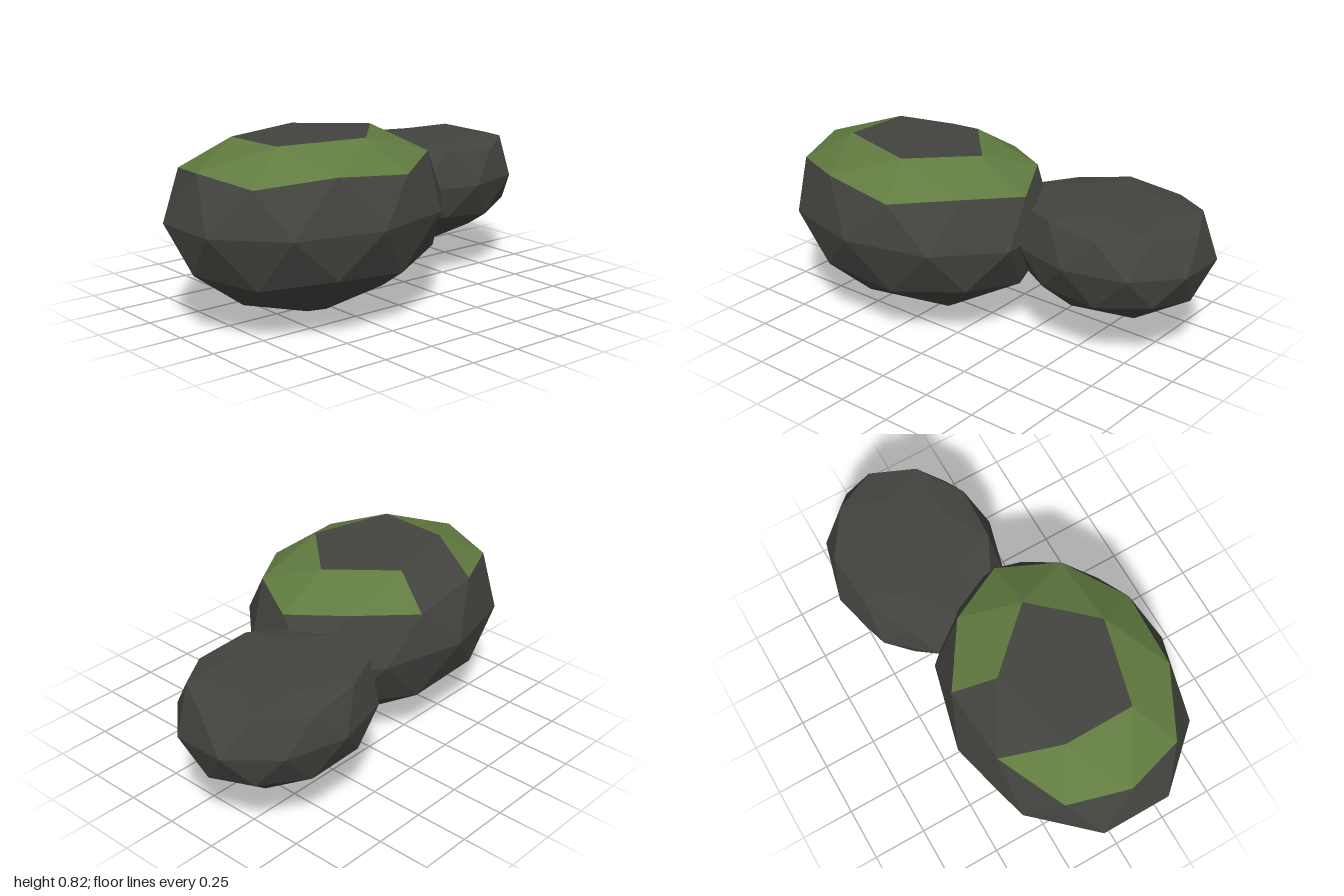
import * as THREE from 'three';

const rockMat = new THREE.MeshStandardMaterial({ name: 'dark rock', color: 0x43433f });
const mossMat = new THREE.MeshStandardMaterial({ name: 'moss green', color: 0x617b40 });
rockMat.flatShading = mossMat.flatShading = true;

// Boulder: a once-subdivided icosahedron, squashed and cut flat on top.
// mossSkip: null for a bare rock, else the shoulder sectors whose moss is missing.
function boulder(name, { center, radius, bottom, top, tilt = 0, mossSkip = null }) {
  const [cx, cy, cz] = center;
  const [rx, ry, rz] = radius;
  const point = (deg, r, h) => {
    const a = THREE.MathUtils.degToRad(deg);
    const z = rz * r * Math.sin(a);
    const y = Math.min(cy + ry * h, top + tilt * z);
    return [cx + rx * r * Math.cos(a), y, cz + z];
  };
  const ring = (n, start, f) =>
    Array.from({ length: n }, (_, i) => point(start + (i * 360) / n, ...f(i)));

  // Rings from the flat top down to the bottom tip
  const tip = [cx, Math.min(top, cy + ry), cz];
  const cap = ring(5, 0, () => [0.526, 0.851]);
  const shoulder = ring(10, 0, (i) => (i % 2 ? [0.851, 0.526] : [0.894, 0.447]));
  const waist = ring(10, 18, () => [1, 0]);
  const belly = ring(10, 0, (i) => (i % 2 ? [0.894, -0.447] : [0.851, -0.526]));
  const base = ring(5, 36, () => [0.526, -0.851]);
  const foot = [cx - 0.01, bottom, cz];

  const rock = [], moss = [];
  const add = (list, a, b, c) => list.push(...a, ...b, ...c);

  for (let k = 0; k < 5; k++) {
    const n = (k + 1) % 5;
    // Flat top and its sloping shoulder
    add(rock, tip, cap[n], cap[k]);
    const s0 = shoulder[2 * k], s1 = shoulder[2 * k + 1], s2 = shoulder[(2 * k + 2) % 10];
    [[cap[k], s1, s0], [cap[k], cap[n], s1], [cap[n], s2, s1]].forEach((f, j) => {
      const bare = !mossSkip || mossSkip.includes(3 * k + j);
      add(bare ? rock : moss, ...f);
    });
    // Underside
    add(rock, foot, base[k], base[n]);
    const b0 = belly[2 * k + 1], b1 = belly[(2 * k + 2) % 10], b2 = belly[(2 * k + 3) % 10];
    add(rock, base[k], b0, b1);
    add(rock, base[k], b1, base[n]);
    add(rock, base[n], b1, b2);
  }
  // Bands above and below the waist
  for (let j = 0; j < 10; j++) {
    const n = (j + 1) % 10;
    add(rock, shoulder[j], shoulder[n], waist[j]);
    add(rock, waist[j], shoulder[n], waist[n]);
    add(rock, belly[j], waist[j], belly[n]);
    add(rock, waist[j], waist[n], belly[n]);
  }

  const geo = new THREE.BufferGeometry();
  geo.setAttribute('position', new THREE.Float32BufferAttribute([...rock, ...moss], 3));
  geo.addGroup(0, rock.length / 3, 0);
  if (moss.length) geo.addGroup(rock.length / 3, moss.length / 3, 1);
  geo.computeVertexNormals();
  const mesh = new THREE.Mesh(geo, [rockMat, mossMat]);
  mesh.name = name;
  return mesh;
}

export function createModel() {
  const group = new THREE.Group();
  group.name = 'rocks';
  group.add(
    boulder('largeMossyRock', {
      center: [-0.363, 0.48, 0.06], radius: [0.673, 0.445, 0.53],
      bottom: 0, top: 0.81, tilt: 0.026, mossSkip: [10, 11],
    }),
    boulder('smallRock', {
      center: [0.535, 0.465, -0.195], radius: [0.485, 0.322, 0.395],
      bottom: 0.145, top: 0.643,
    }),
  );
  return group;
}
